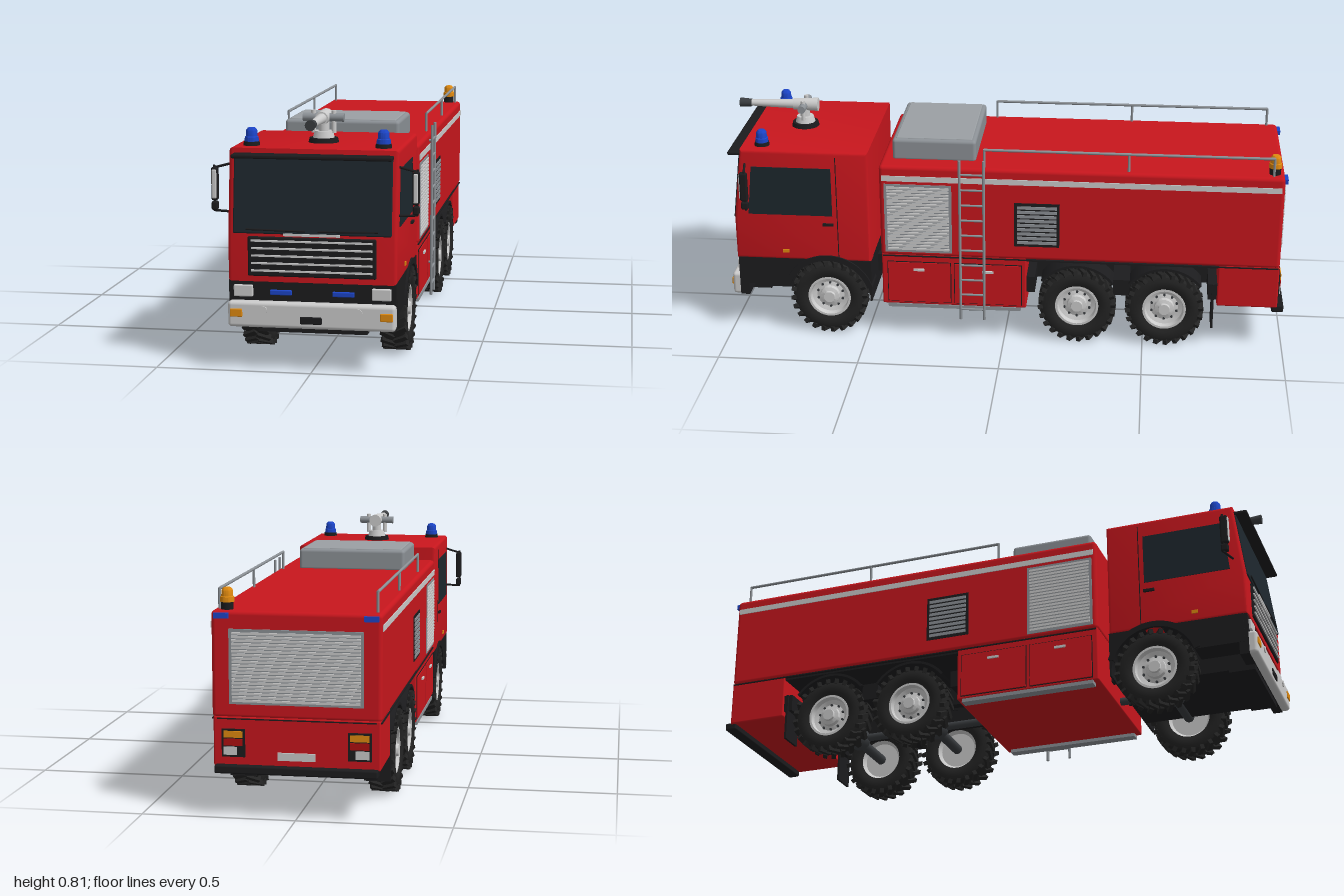
import * as THREE from 'three';
import { toCreasedNormals, mergeGeometries } from 'three/addons/utils/BufferGeometryUtils.js';
import { RoundedBoxGeometry } from 'three/addons/geometries/RoundedBoxGeometry.js';

const mat = (color) => new THREE.MeshStandardMaterial({ color });
const red = mat(0xc8161d), black = mat(0x1c1c1e), rubber = mat(0x232323), glass = mat(0x1d272d),
  grey = mat(0xcccccc), steel = mat(0x8c9196), dark = mat(0x3a3d40), blue = mat(0x1c45c8), amber = mat(0xe08a10),
  lampRed = mat(0xb01010);

export function createModel() {
  const root = new THREE.Group();
  const add = (name, geo, material, x = 0, y = 0, z = 0) => {
    const m = new THREE.Mesh(geo, material);
    m.name = name;
    m.position.set(x, y, z);
    root.add(m);
    return m;
  };
  // box given by its ranges along x, y, z; r rounds the edges
  const box = (name, material, [x0, x1], [y0, y1], [z0, z1], r = 0) => {
    const s = [Math.abs(x1 - x0), y1 - y0, Math.abs(z1 - z0)];
    const geo = r ? new RoundedBoxGeometry(...s, 3, r) : new THREE.BoxGeometry(...s);
    return add(name, geo, material, (x0 + x1) / 2, (y0 + y1) / 2, (z0 + z1) / 2);
  };
  // round bar between two points
  const bar = (name, material, a, b, r, r2 = r, n = 12) => {
    const p = new THREE.Vector3(...a), d = new THREE.Vector3(...b).sub(p);
    const m = add(name, new THREE.CylinderGeometry(r2, r, d.length(), n), material);
    m.position.copy(p).addScaledVector(d, 0.5);
    m.quaternion.setFromUnitVectors(new THREE.Vector3(0, 1, 0), d.normalize());
    return m;
  };
  // side profile in (z, y), extruded from x0 to x1
  const profile = (name, material, shape, x0, x1, bevel = 0) => {
    const depth = x1 - x0 - 2 * bevel;
    const geo = new THREE.ExtrudeGeometry(shape, { depth, curveSegments: 24, bevelEnabled: bevel > 0,
      bevelSize: bevel, bevelThickness: bevel, bevelOffset: -bevel, bevelSegments: 3 });
    geo.translate(0, 0, -depth / 2).rotateY(-Math.PI / 2);
    return add(name, toCreasedNormals(geo, 0.6), material, (x0 + x1) / 2);
  };
  const poly = (pts) => new THREE.Shape(pts.map((p) => new THREE.Vector2(...p)));
  const band = (z, y, r0, r1, a0, a1) => {
    const s = new THREE.Shape();
    s.absarc(z, y, r1, a0, a1, false);
    s.absarc(z, y, r0, a1, a0, true);
    return s;
  };
  const both = (fn) => [1, -1].forEach(fn);
  const sx = (s, a, b) => (s > 0 ? [a, b] : [-b, -a]);

  // cab shell
  profile('cab', red, poly([[0.48, 0.285], [0.968, 0.285], [0.968, 0.44], [0.935, 0.705], [0.48, 0.705]]), -0.27, 0.27, 0.012);
  const tilt = Math.atan(0.033 / 0.265);
  const screen = add('windscreen', new RoundedBoxGeometry(0.505, 0.245, 0.012, 2, 0.004), glass, 0, 0.56, 0.952);
  screen.rotation.x = -tilt;
  box('sunVisor', black, [-0.255, 0.255], [0.677, 0.69], [0.92, 0.983], 0.005);
  both((s) => bar('wiper', black, [s * 0.02, 0.45, 0.974], [s * 0.21, 0.453, 0.974], 0.003));
  box('bonnetTrim', grey, [-0.09, 0.09], [0.434, 0.442], [0.96, 0.976]);

  // radiator grille
  box('radiatorGrille', black, [-0.205, 0.205], [0.303, 0.43], [0.95, 0.974], 0.005);
  for (let i = 0; i < 5; i++) {
    const y = 0.322 + i * 0.0238;
    box('radiatorSlat', grey, [-0.193, 0.193], [y - 0.003, y + 0.003], [0.97, 0.979]);
  }

  // lower cab with wheel wells
  box('cabFloor', black, [-0.175, 0.175], [0.13, 0.29], [0.48, 0.95]);
  box('cabFrontPanel', black, [-0.268, 0.268], [0.14, 0.288], [0.93, 0.963]);
  both((s) => {
    const well = new THREE.Shape();
    well.moveTo(0.48, 0.13).lineTo(0.486, 0.13);
    well.absarc(0.637, 0.14, 0.151, Math.PI, 0.3, true);
    well.lineTo(0.95, 0.185).lineTo(0.95, 0.289).lineTo(0.48, 0.289);
    profile('wheelWell', black, well, ...sx(s, 0.17, 0.269));
    profile('frontFender', black, band(0.637, 0.14, 0.148, 0.168, 0.3, Math.PI - 0.3), ...sx(s, 0.18, 0.276));

    // doors, side windows and handles
    profile('sideWindow', glass, poly([[0.613, 0.462], [0.915, 0.462], [0.897, 0.643], [0.613, 0.643]]), ...sx(s, 0.262, 0.272));
    box('doorSeam', black, sx(s, 0.265, 0.2705), [0.3, 0.685], [0.594, 0.597]);
    box('doorHandle', black, sx(s, 0.268, 0.278), [0.425, 0.434], [0.61, 0.648]);
    box('sideMarker', amber, sx(s, 0.268, 0.274), [0.315, 0.327], [0.775, 0.797]);

    // mirrors
    bar('mirrorArm', black, [s * 0.26, 0.655, 0.92], [s * 0.325, 0.637, 0.91], 0.004);
    bar('mirrorArm', black, [s * 0.26, 0.5, 0.93], [s * 0.325, 0.5, 0.91], 0.004);
    bar('mirrorPost', black, [s * 0.325, 0.498, 0.91], [s * 0.325, 0.645, 0.91], 0.004);
    box('mirrorHousing', black, sx(s, 0.311, 0.332), [0.533, 0.64], [0.9, 0.928], 0.007);
    box('mirrorFace', grey, sx(s, 0.314, 0.329), [0.54, 0.633], [0.922, 0.931], 0.004);
    box('wideMirror', black, sx(s, 0.312, 0.332), [0.502, 0.53], [0.9, 0.926], 0.006);

    // front lamps
    box('headlamp', grey, sx(s, 0.19, 0.252), [0.235, 0.273], [0.955, 0.972], 0.004);
    box('frontStrobe', blue, sx(s, 0.065, 0.135), [0.243, 0.259], [0.958, 0.972], 0.003);
    box('frontIndicator', amber, sx(s, 0.22, 0.26), [0.174, 0.2], [0.985, 0.995], 0.003);
    bar('fogLamp', grey, [s * 0.152, 0.199, 0.985], [s * 0.152, 0.199, 0.995], 0.012, 0.012, 20);

    // roof beacons
    bar('beaconBase', black, [s * 0.212, 0.703, 0.865], [s * 0.212, 0.718, 0.865], 0.027, 0.025, 20);
    beacon('blueBeacon', blue, s * 0.212, 0.716, 0.865);
  });
  box('frontBumper', grey, [-0.268, 0.268], [0.14, 0.223], [0.945, 0.991], 0.012);
  box('frontPlate', black, [-0.035, 0.035], [0.157, 0.181], [0.98, 0.995], 0.004);
  box('frontValance', black, [-0.175, 0.175], [0.122, 0.145], [0.87, 0.96]);

  function beacon(name, material, x, y, z) {
    const pts = [[0.023, 0], [0.022, 0.016], [0.019, 0.018], [0.018, 0.037], [0.012, 0.045], [0, 0.047]];
    const geo = new THREE.LatheGeometry(pts.map((p) => new THREE.Vector2(...p)), 20);
    add(name, toCreasedNormals(geo, 0.6), material, x, y, z);
  }

  // water cannon
  bar('cannonBase', black, [0, 0.703, 0.75], [0, 0.72, 0.75], 0.05, 0.046, 24);
  bar('cannonPedestal', grey, [0, 0.718, 0.75], [0, 0.742, 0.75], 0.036, 0.03, 20);
  bar('cannonColumn', grey, [0, 0.74, 0.75], [0, 0.785, 0.75], 0.018);
  both((s) => {
    bar('cannonYoke', grey, [s * 0.033, 0.735, 0.75], [s * 0.033, 0.808, 0.75], 0.008);
    bar('cannonPivot', steel, [s * 0.02, 0.785, 0.75], [s * 0.067, 0.785, 0.75], 0.014, 0.014, 16);
  });
  bar('cannonBody', grey, [0, 0.785, 0.7], [0, 0.785, 0.79], 0.024, 0.021, 18);
  bar('cannonBarrel', grey, [0, 0.785, 0.78], [0, 0.785, 0.965], 0.017, 0.011, 16);
  bar('cannonMuzzle', dark, [0, 0.785, 0.945], [0, 0.785, 0.987], 0.014, 0.017, 16);

  // body
  box('upperBody', red, [-0.272, 0.272], [0.318, 0.662], [-0.975, 0.442], 0.014);
  box('lockerBody', red, [-0.268, 0.268], [0.125, 0.325], [-0.08, 0.44], 0.006);
  box('rearBody', red, [-0.268, 0.268], [0.163, 0.325], [-0.975, -0.76], 0.006);
  box('bodyFloor', black, [-0.262, 0.262], [0.308, 0.32], [-0.76, -0.08]);
  box('roofHatch', steel, [-0.198, 0.198], [0.655, 0.735], [0.105, 0.402], 0.012);
  box('roofHatchLid', mat(0x9ba0a4), [-0.184, 0.184], [0.73, 0.738], [0.119, 0.388], 0.003);

  // slatted panel on a body side
  const slats = (name, s, z0, z1, y0, y1, n, material) => {
    const h = (y1 - y0) / n;
    for (let i = 0; i < n; i++)
      box(name, material, sx(s, 0.268, 0.277), [y0 + h * (i + 0.15), y0 + h * (i + 0.8)], [z0, z1]);
  };
  both((s) => {
    box('bodySeam', black, sx(s, 0.262, 0.2725), [0.315, 0.319], [-0.97, 0.435]);
    box('bodyStripe', grey, sx(s, 0.265, 0.275), [0.606, 0.626], [-0.965, 0.432]);
    box('shutterFrame', steel, sx(s, 0.265, 0.274), [0.334, 0.595], [0.185, 0.425]);
    slats('shutterSlat', s, 0.195, 0.415, 0.342, 0.588, 20, grey);
    box('ventPanel', black, sx(s, 0.265, 0.274), [0.372, 0.538], [-0.197, -0.037]);
    slats('ventSlat', s, -0.187, -0.047, 0.38, 0.53, 9, steel);
    // lower locker doors
    [[0.19, 0.42], [-0.065, 0.18]].forEach(([z0, z1]) => {
      box('lockerOutline', black, sx(s, 0.26, 0.2695), [0.135, 0.295], [z0, z1]);
      box('lockerDoor', red, sx(s, 0.26, 0.273), [0.138, 0.292], [z0 + 0.003, z1 - 0.003]);
      box('lockerHandle', grey, sx(s, 0.27, 0.279), [0.262, 0.27], [(z0 + z1) / 2 - 0.02, (z0 + z1) / 2 + 0.02]);
    });
    box('sill', steel, sx(s, 0.235, 0.27), [0.113, 0.126], [-0.06, 0.42]);

    // roof rails
    const x = s * 0.252;
    bar('roofRail', steel, [x, 0.726, 0.07], [x, 0.726, -0.935], 0.005);
    [0.07, -0.435, -0.935].forEach((z) => bar('railPost', steel, [x, 0.65, z], [x, 0.728, z], 0.0045));

    // rear lamps
    box('rearLampFrame', black, sx(s, 0.165, 0.24), [0.195, 0.285], [-0.981, -0.965]);
    box('rearIndicator', amber, sx(s, 0.172, 0.233), [0.258, 0.279], [-0.985, -0.97]);
    box('brakeLamp', lampRed, sx(s, 0.172, 0.233), [0.232, 0.254], [-0.985, -0.97]);
    box('reverseLamp', grey, sx(s, 0.19, 0.233), [0.202, 0.228], [-0.985, -0.97]);
    box('rearStrobe', blue, sx(s, 0.215, 0.262), [0.638, 0.655], [-0.985, -0.955]);
  });

  // rear shutter, plate and bumper
  box('rearShutterFrame', steel, [-0.215, 0.215], [0.365, 0.605], [-0.979, -0.965]);
  for (let i = 0; i < 20; i++) {
    const y = 0.373 + i * 0.0113;
    box('rearShutterSlat', grey, [-0.205, 0.205], [y, y + 0.0075], [-0.983, -0.97]);
  }
  box('bodySeam', black, [-0.255, 0.255], [0.315, 0.319], [-0.976, -0.96]);
  box('rearPlate', grey, [-0.06, 0.06], [0.188, 0.213], [-0.981, -0.965]);
  box('rearBumper', black, [-0.262, 0.262], [0.143, 0.17], [-0.998, -0.955], 0.006);
  bar('beaconBase', black, [0.226, 0.655, -0.94], [0.226, 0.688, -0.94], 0.02, 0.02, 20);
  beacon('amberBeacon', amber, 0.226, 0.686, -0.94);

  // side ladder
  [0.155, 0.07].forEach((z) => {
    bar('ladderRail', steel, [0.283, 0.08, z], [0.283, 0.695, z], 0.005);
    [0.2, 0.64].forEach((y) => bar('ladderBracket', steel, [0.262, y, z], [0.283, y, z], 0.004));
  });
  for (let i = 0; i < 10; i++) bar('ladderRung', steel, [0.283, 0.12 + i * 0.058, 0.07], [0.283, 0.12 + i * 0.058, 0.155], 0.004);

  // chassis
  const axles = [0.637, -0.262, -0.575];
  both((s) => {
    box('chassisRail', black, sx(s, 0.085, 0.115), [0.18, 0.248], [-0.9, 0.6]);
    box('fenderBracket', black, sx(s, 0.1, 0.255), [0.185, 0.245], [-0.45, -0.39]);
    box('fenderBracket', black, sx(s, 0.1, 0.255), [0.185, 0.245], [-0.11, -0.08]);
    box('mudFlap', black, sx(s, 0.18, 0.268), [0.075, 0.245], [-0.75, -0.742]);
    box('flapBracket', black, sx(s, 0.1, 0.262), [0.185, 0.245], [-0.76, -0.728]);
    axles.slice(1).forEach((z) => profile('rearFender', black, band(z, 0.14, 0.153, 0.162, 0.65, Math.PI - 0.65), ...sx(s, 0.18, 0.27)));
  });
  bar('propShaft', dark, [0, 0.15, 0.6], [0, 0.15, -0.575], 0.014);
  axles.forEach((z) => {
    bar('axle', dark, [-0.2, 0.14, z], [0.2, 0.14, z], 0.019);
    const d = add('differential', new THREE.SphereGeometry(0.042, 18, 12), dark, 0, 0.148, z);
    d.scale.x = 0.85;
  });

  // wheels: lathed tyre and rim with angled tread lugs
  const lathe = (pts) => toCreasedNormals(new THREE.LatheGeometry(pts.map((p) => new THREE.Vector2(...p)), 40), 0.5);
  const tyre = lathe([[0.076, -0.034], [0.09, -0.042], [0.112, -0.043], [0.126, -0.037], [0.13, -0.028],
    [0.13, 0.028], [0.126, 0.037], [0.112, 0.043], [0.09, 0.042], [0.076, 0.034]]);
  const rim = lathe([[0, -0.02], [0.066, -0.02], [0.078, -0.035], [0.078, 0.036], [0.07, 0.036], [0.066, 0.018],
    [0.05, 0.012], [0.036, 0.016], [0.034, 0.03], [0.022, 0.034], [0.02, 0.042], [0, 0.042]]);
  const lugs = [], bolts = [];
  for (let i = 0; i < 48; i++) {
    const s = i % 2 ? 1 : -1;
    lugs.push(new THREE.BoxGeometry(0.018, 0.048, 0.015).rotateX(s * 0.5).translate(0.1305, s * 0.021, 0).rotateY((i * Math.PI) / 24));
  }
  for (let i = 0; i < 10; i++)
    bolts.push(new THREE.CylinderGeometry(0.0045, 0.0045, 0.008, 8).translate(0.047, 0.014, 0).rotateY((i * Math.PI) / 5));
  const tread = mergeGeometries(lugs), nuts = mergeGeometries(bolts);
  axles.forEach((z) => both((s) => {
    const wheel = new THREE.Group();
    wheel.name = z > 0 ? 'frontWheel' : 'rearWheel';
    [['tyre', tyre, rubber], ['tread', tread, rubber], ['rim', rim, grey], ['wheelNuts', nuts, dark]].forEach(([name, geo, m]) => {
      const part = new THREE.Mesh(geo, m);
      part.name = name;
      wheel.add(part);
    });
    wheel.position.set(s * 0.23, 0.141, z);
    wheel.rotation.z = (-s * Math.PI) / 2;
    root.add(wheel);
  }));
  return root;
}
